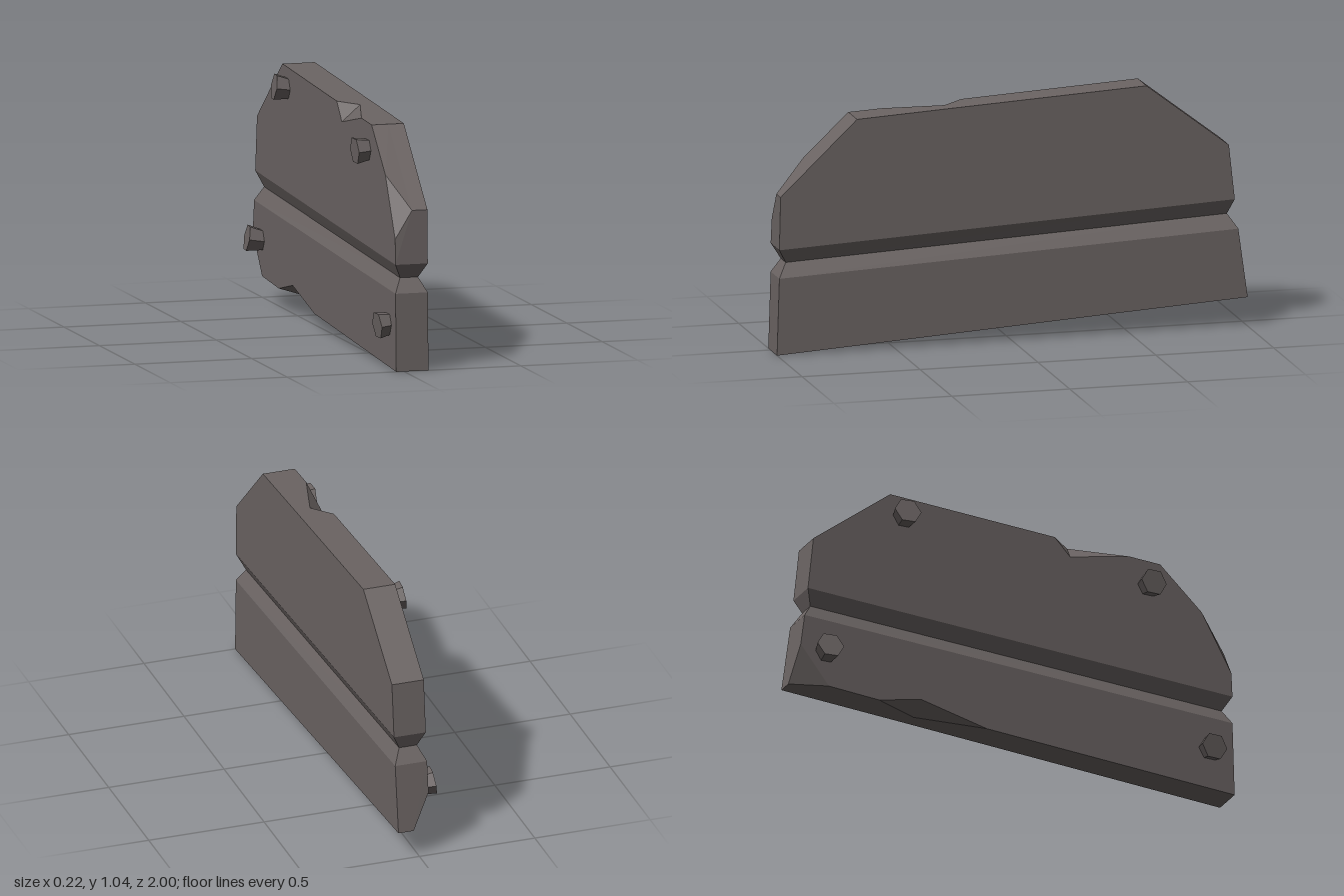
import * as THREE from 'three';

const wood = new THREE.MeshStandardMaterial({ color: 0x6b6463 });
wood.name = 'greyWood';
wood.flatShading = true;

// The panel is yawed very slightly, so x drifts with z
const at = (x, z, y) => new THREE.Vector3(x + 0.007 * z, y, z);
const LEFT = -0.04, MID = 0.032, RIGHT = 0.098;

function meshFrom(name, tris) {
  const pos = [];
  const n = new THREE.Vector3();
  for (const t of tris) {
    new THREE.Triangle(...t).getNormal(n);
    if (n.lengthSq() > 0) t.forEach(p => pos.push(p.x, p.y, p.z)); // skip collapsed faces
  }
  const g = new THREE.BufferGeometry();
  g.setAttribute('position', new THREE.Float32BufferAttribute(pos, 3));
  g.computeVertexNormals();
  const m = new THREE.Mesh(g, wood);
  m.name = name;
  return m;
}

// Rows: [z, y] on the chipped face, then optional [z, y] on the intact rim
function plank(name, rows) {
  const tris = [];
  const outline = k => rows.map(r => (k && r.length > 2 ? [r[2], r[3]] : [r[0], r[1]]));
  const rings = [[LEFT, 0], [MID, 1], [RIGHT, 1]].map(([x, k]) => outline(k).map(([z, y]) => at(x, z, y)));

  // Rim strips
  for (let s = 0; s < 2; s++) {
    const a = rings[s], b = rings[s + 1];
    for (let i = 0; i < a.length; i++) {
      const j = (i + 1) % a.length;
      tris.push([a[i], b[j], a[j]], [a[i], b[i], b[j]]);
    }
  }
  // Broad faces
  for (const [ring, side] of [[rings[0], -1], [rings[2], 1]]) {
    const pts = ring.filter((p, i) => !p.equals(ring[(i + 1) % ring.length]));
    const faces = THREE.ShapeUtils.triangulateShape(pts.map(p => new THREE.Vector2(p.z, p.y)), []);
    for (const f of faces) {
      const t = f.map(i => pts[i]);
      const n = new THREE.Triangle(...t).getNormal(new THREE.Vector3());
      tris.push(n.x * side > 0 ? t : [t[0], t[2], t[1]]);
    }
  }
  return meshFrom(name, tris);
}

// V-shaped waist between the planks, from bottom to top
function groove() {
  const rings = [
    [LEFT, RIGHT, 0.99, 0.325, -0.96, 0.415],
    [-0.01, 0.067, 0.955, 0.385, -0.92, 0.475],
    [LEFT, RIGHT, 0.99, 0.445, -0.945, 0.54],
  ].map(([l, r, zf, yf, zb, yb]) => [at(l, zf, yf), at(r, zf, yf), at(r, zb, yb), at(l, zb, yb)]);
  const tris = [];
  for (let s = 0; s < 2; s++) {
    for (let i = 0; i < 4; i++) {
      const j = (i + 1) % 4, a = rings[s], b = rings[s + 1];
      tris.push([a[i], a[j], b[j]], [a[i], b[j], b[i]]);
    }
  }
  return meshFrom('groove', tris);
}

export function createModel() {
  const model = new THREE.Group();
  model.name = 'plankPanel';

  // Upper plank with a chipped front corner and a nick in the top edge
  model.add(plank('upperPlank', [
    [0.99, 0.445],
    [0.985, 0.55, 0.985, 0.667],
    [0.85, 0.797, 0.985, 0.667],
    [0.66, 0.975],
    [0.52, 0.982, 0.27, 0.996],
    [0.25, 0.925, 0.27, 0.996],
    [0.18, 1.0, 0.27, 0.996],
    [-0.57, 1.04],
    [-0.92, 0.77],
    [-0.945, 0.54],
  ]));

  // Lower plank with a chipped back corner and a nick in the bottom edge
  model.add(plank('lowerPlank', [
    [0.99, 0.325],
    [-0.96, 0.415],
    [-0.978, 0.28, -1, 0.125],
    [-0.85, 0.116, -1, 0.125],
    [-0.62, 0.1, -0.43, 0.091],
    [-0.43, 0.142, -0.43, 0.091],
    [-0.13, 0.071, -0.43, 0.091],
    [1, 0.003],
  ]));

  model.add(groove());

  // Flared six-sided pegs: z, y, how far they stand out, tilt
  const pegShape = new THREE.CylinderGeometry(0.058, 0.042, 0.08, 6);
  for (const [z, y, out, tilt] of [
    [-0.51, 0.95, 0.05, -0.15],
    [0.605, 0.865, 0.052, 0.06],
    [-0.865, 0.268, 0.056, -0.17],
    [0.885, 0.185, 0.043, 0.1],
  ]) {
    const peg = new THREE.Mesh(pegShape, wood);
    peg.name = 'peg';
    peg.position.copy(at(LEFT - out + 0.036, z, y));
    peg.rotation.set(0, tilt * 0.6, Math.PI / 2 + tilt);
    model.add(peg);
  }
  return model;
}
